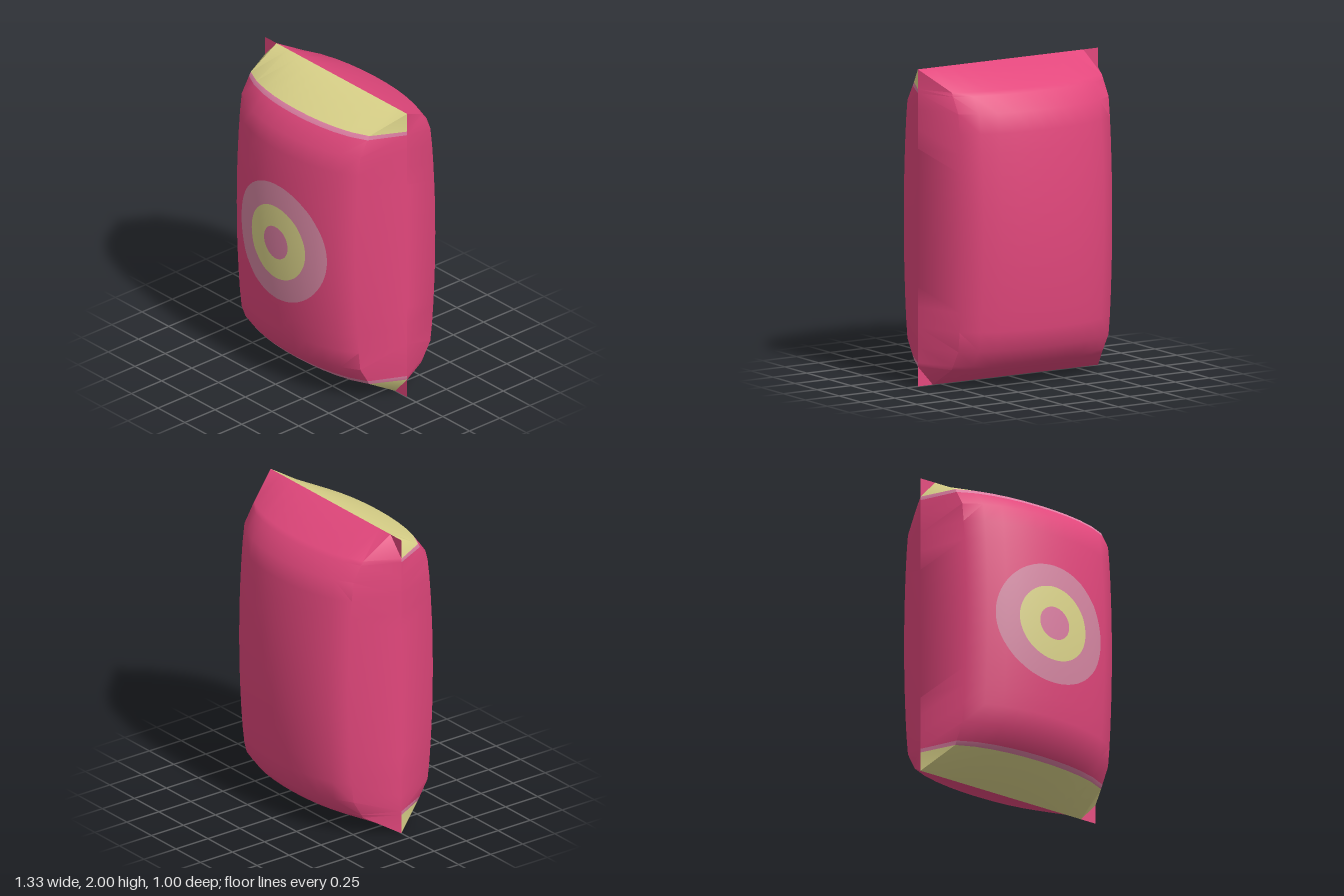
import * as THREE from 'three';
import { toCreasedNormals } from 'three/addons/utils/BufferGeometryUtils.js';

const HALF_W = 0.667, DEPTH = 0.5;
// fullness of the pillow from middle (0) to seam (1), in even steps
const ACROSS = [1, 0.99, 0.96, 0.904, 0.814, 0.66, 0];
const UP = [1, 0.997, 0.988, 0.972, 0.95, 0.921, 0.876, 0.65, 0];

function fullness(table, t) {
  const p = Math.min(Math.abs(t), 1) * (table.length - 1);
  const i = Math.min(Math.floor(p), table.length - 2);
  return THREE.MathUtils.lerp(table[i], table[i + 1], p - i);
}
const bulge = (x, y) => DEPTH * fullness(ACROSS, x / HALF_W) * fullness(UP, y - 1);

function material(name, color, side = THREE.FrontSide) {
  const m = new THREE.MeshStandardMaterial({ color, side });
  m.name = name;
  return m;
}

// Front and back sheets joined at the flat seam
function wrapperGeometry() {
  const xs = Array.from({ length: 13 }, (_, i) => HALF_W * (i - 6) / 6);
  const ys = Array.from({ length: 17 }, (_, i) => i / 8);
  ys.push(0.15, 1.85);
  ys.sort((a, b) => a - b);
  const buckets = [[], [], []]; // pink, yellow, pale pink
  const band = y => {
    const d = 1 - Math.abs(y - 1);
    return d < 0.125 ? 1 : d < 0.15 ? 2 : 0;
  };
  for (let j = 0; j < ys.length - 1; j++) {
    for (let i = 0; i < xs.length - 1; i++) {
      for (const s of [1, -1]) {
        const pt = (a, b) => [xs[a], ys[b], s * bulge(xs[a], ys[b])];
        const bl = pt(i, j), br = pt(i + 1, j), tl = pt(i, j + 1), tr = pt(i + 1, j + 1);
        const out = buckets[s > 0 ? band((ys[j] + ys[j + 1]) / 2) : 0];
        for (const tri of [[tl, bl, tr], [bl, br, tr]]) {
          // the flat seam corners belong to the back sheet only
          const flat = tri.every(p => Math.abs(p[2]) < 1e-6);
          if (s > 0 && flat) continue;
          if (s < 0) tri.reverse();
          out.push(...tri.flat());
        }
      }
    }
  }
  const g = new THREE.BufferGeometry();
  g.setAttribute('position', new THREE.Float32BufferAttribute(buckets.flat(), 3));
  let start = 0;
  buckets.forEach((b, k) => {
    g.addGroup(start, b.length / 3, k);
    start += b.length / 3;
  });
  return toCreasedNormals(g, 0.675);
}

// Flat ring laid over the curved front sheet
function decal(name, inner, outer, mat) {
  const g = new THREE.RingGeometry(inner, outer, 64, 8);
  const p = g.attributes.position, n = g.attributes.normal;
  const e = 0.12, v = new THREE.Vector3();
  for (let i = 0; i < p.count; i++) {
    const x = p.getX(i), y = p.getY(i) + 1;
    p.setXYZ(i, x, y, bulge(x, y) + 0.003);
    v.set((bulge(x - e, y) - bulge(x + e, y)) / (2 * e),
      (bulge(x, y - e) - bulge(x, y + e)) / (2 * e), 1).normalize();
    n.setXYZ(i, v.x, v.y, v.z);
  }
  const mesh = new THREE.Mesh(g, mat);
  mesh.name = name;
  return mesh;
}

export function createModel() {
  const pink = material('wrapper pink', 0xe2477c, THREE.DoubleSide);
  const yellow = material('pale yellow', 0xddd58b);
  const pale = material('pale pink', 0xdc7ea2);
  const dusty = material('dusty pink', 0xd787a3);

  const group = new THREE.Group();
  group.name = 'snackPacket';
  const wrapper = new THREE.Mesh(wrapperGeometry(), [pink, yellow, pale]);
  wrapper.name = 'wrapper';
  group.add(wrapper);

  // round emblem on the front
  group.add(
    decal('outerRing', 0.25, 0.4, dusty),
    decal('middleRing', 0.11, 0.25, yellow),
    decal('centreDot', 0, 0.11, pale)
  );
  return group;
}
